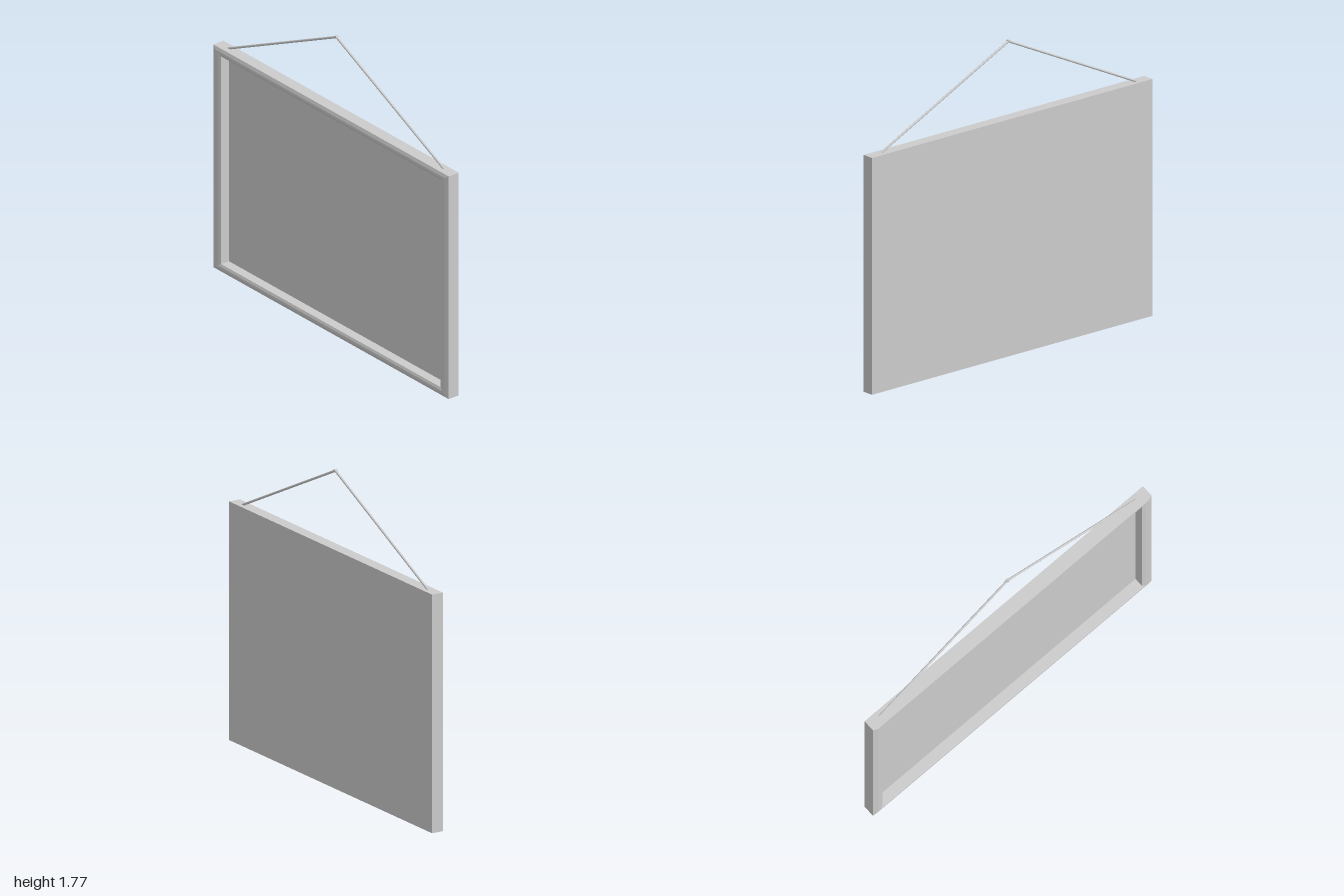
import * as THREE from 'three';

const W = 1, H = 1.335;          // half width and full height
const SIDE = 0.068, RAIL = 0.045; // moulding widths

// Rectangle corners, counter-clockwise from the front, inset by fraction t of the moulding
const ring = ([t, z]) => {
  const x = W - SIDE * t, y0 = RAIL * t, y1 = H - RAIL * t;
  return [[-x, y0, z], [x, y0, z], [x, y1, z], [-x, y1, z]];
};

// Mitred moulding: one flat strip between each pair of profile points, on four sides
function mouldingGeometry(profile) {
  const pos = [];
  for (let i = 0; i < profile.length - 1; i++) {
    const a = ring(profile[i]), b = ring(profile[i + 1]);
    for (let k = 0; k < 4; k++) {
      const n = (k + 1) % 4;
      pos.push(...a[k], ...a[n], ...b[n], ...a[k], ...b[n], ...b[k]);
    }
  }
  const g = new THREE.BufferGeometry();
  g.setAttribute('position', new THREE.Float32BufferAttribute(pos, 3));
  g.computeVertexNormals();
  return g;
}

export function createModel() {
  const group = new THREE.Group();
  const flat = new THREE.MeshStandardMaterial({ color: 0xcccccc, flatShading: true });
  const smooth = new THREE.MeshStandardMaterial({ color: 0xcccccc });
  const add = (name, geometry, material) => {
    const m = new THREE.Mesh(geometry, material);
    m.name = name;
    group.add(m);
    return m;
  };

  // Frame: outer wall, bevelled face, inner wall
  add('frame', mouldingGeometry([
    [0, -0.038], [0, 0.031], [0.4, 0.038], [0.7, 0.038], [1, 0.032], [1, -0.022],
  ]), flat);

  // Recessed picture surface
  const panel = add('picturePanel', new THREE.PlaneGeometry(2 * (W - SIDE), H - 2 * RAIL), flat);
  panel.position.set(0, H / 2, -0.022);

  // Closed back
  const back = add('backPanel', new THREE.PlaneGeometry(2 * W, H), flat);
  back.rotation.y = Math.PI;
  back.position.set(0, H / 2, -0.038);

  // Hanging cord, two mirrored strands
  const apex = new THREE.Vector3(0, 1.763, -0.007);
  for (const s of [1, -1]) {
    const end = new THREE.Vector3(s * 0.93, 1.326, -0.007);
    const dir = apex.clone().sub(end);
    const cord = add(s > 0 ? 'leftCord' : 'rightCord',
      new THREE.CylinderGeometry(0.0065, 0.0065, dir.length(), 10), smooth);
    cord.position.copy(end).addScaledVector(dir, 0.5);
    cord.quaternion.setFromUnitVectors(new THREE.Vector3(0, 1, 0), dir.normalize());
  }

  // Small peg at the top of the cord
  const peg = add('hangingPeg', new THREE.CylinderGeometry(0.008, 0.008, 0.018, 12), smooth);
  peg.rotation.x = Math.PI / 2;
  peg.position.set(0, 1.764, -0.007);

  return group;
}
